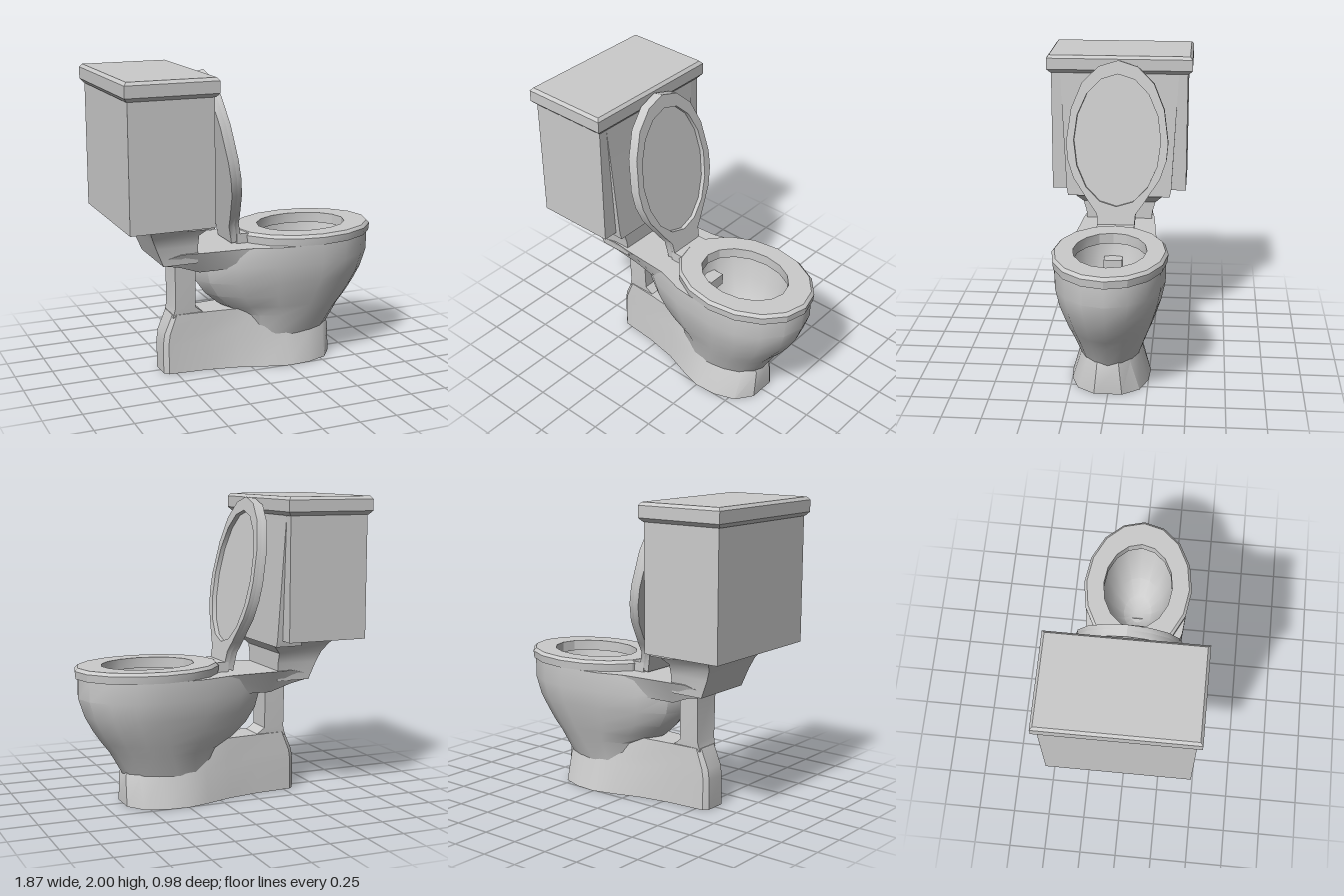
import * as THREE from 'three';
import { toCreasedNormals } from 'three/addons/utils/BufferGeometryUtils.js';

const material = new THREE.MeshStandardMaterial({ color: 0xcccccc, side: THREE.DoubleSide });

function addMesh(group, name, geometry, crease = 0.55) {
  const mesh = new THREE.Mesh(toCreasedNormals(geometry, crease), material);
  mesh.name = name;
  group.add(mesh);
  return mesh;
}

// Skin a list of equal-length rings of [x, y, z]; ends may be closed to their centre.
function loft(rings, capStart = false, capEnd = false) {
  const centre = (ring) => {
    const c = [0, 1, 2].map((k) => ring.reduce((s, p) => s + p[k], 0) / ring.length);
    return ring.map(() => c);
  };
  const all = [...rings];
  if (capStart) all.unshift(centre(rings[0]));
  if (capEnd) all.push(centre(rings[rings.length - 1]));
  const n = rings[0].length, index = [];
  for (let i = 0; i < all.length - 1; i++) {
    for (let j = 0; j < n; j++) {
      const a = i * n + j, b = i * n + (j + 1) % n;
      if (!(capStart && i === 0)) index.push(a, b, b + n);
      if (!(capEnd && i === all.length - 2)) index.push(a, b + n, a + n);
      else index.push(a, b, a + n);
      if (capStart && i === 0) index.push();
    }
  }
  const g = new THREE.BufferGeometry();
  g.setAttribute('position', new THREE.Float32BufferAttribute(all.flat(2), 3));
  g.setIndex(index);
  return g;
}

// Horizontal egg ring: widest at cx, reaching from back to front along x.
function egg(y, back, front, halfZ, cx = 0.44, n = 16) {
  return Array.from({ length: n }, (_, j) => {
    const t = (j / n) * Math.PI * 2, c = Math.cos(t);
    return [cx + c * (c > 0 ? front - cx : cx - back), y, -halfZ * Math.sin(t)];
  });
}

// Horizontal rectangular ring.
const rect = (y, x0, x1, h) => [[x1, y, h], [x1, y, -h], [x0, y, -h], [x0, y, h]];

// Horizontal ring mirrored about z = 0 from [x, halfZ] stations running front to back.
function outline(y, stations) {
  return [
    ...stations.map(([x, h]) => [x, y, -h]),
    ...[...stations].reverse().map(([x, h]) => [x, y, h]),
  ];
}

export function createModel() {
  const model = new THREE.Group();
  model.name = 'toilet';

  // Cistern with a shallow sloping front panel and a chamfered cover
  const cistern = new THREE.Group();
  cistern.name = 'cistern';
  model.add(cistern);
  addMesh(cistern, 'tank', loft([rect(1.07, -0.91, -0.36, 0.46), rect(1.9, -0.91, -0.36, 0.46)], true, true));
  addMesh(cistern, 'tankFrontPanel', loft([
    rect(1.03, -0.5, -0.32, 0.35), rect(1.08, -0.5, -0.323, 0.36), rect(1.88, -0.5, -0.36, 0.4),
  ], true, true));
  addMesh(cistern, 'tankCover', loft([
    rect(1.88, -0.915, -0.355, 0.465), rect(1.905, -0.935, -0.335, 0.49),
    rect(1.98, -0.935, -0.335, 0.49), rect(2.0, -0.918, -0.352, 0.473),
  ], true, true), 0.3);

  // Neck that carries the cistern
  addMesh(model, 'neck', loft([
    rect(0.78, -0.62, -0.39, 0.22), rect(0.9, -0.67, -0.39, 0.23), rect(0.97, -0.7, -0.39, 0.25),
    rect(1.03, -0.73, -0.33, 0.3), rect(1.075, -0.77, -0.33, 0.34),
  ], true, true));

  // Deck behind the bowl: [x, bottom, top, half width at top, half width at bottom]
  const deck = [
    [-0.62, 0.78, 0.82, 0.22, 0.2], [-0.5, 0.755, 0.85, 0.235, 0.2], [-0.36, 0.7, 0.85, 0.25, 0.17],
    [-0.05, 0.72, 0.85, 0.27, 0.24], [0.08, 0.72, 0.85, 0.3, 0.28],
  ].map(([x, b, t, h, k]) => [[x, t, -h], [x, t, h], [x, b, k], [x, b, -k]]);
  addMesh(model, 'deck', loft(deck, true, true));

  // Bowl: up the outside, over the rim and down the inside
  addMesh(model, 'bowl', loft([
    egg(0.2, -0.02, 0.62, 0.2, 0.3),
    egg(0.35, -0.06, 0.705, 0.25, 0.36),
    egg(0.42, -0.17, 0.76, 0.275, 0.39),
    egg(0.5, -0.26, 0.815, 0.3, 0.41),
    egg(0.6, -0.33, 0.87, 0.33),
    egg(0.72, -0.36, 0.91, 0.355),
    egg(0.85, -0.32, 0.91, 0.357),
    egg(0.85, 0.1, 0.78, 0.26),
    egg(0.7, 0.13, 0.74, 0.235),
    egg(0.52, 0.21, 0.67, 0.175),
    egg(0.42, 0.31, 0.57, 0.1),
    egg(0.39, 0.4, 0.48, 0.03),
  ], false, true));
  const inlet = addMesh(model, 'waterInlet', new THREE.BoxGeometry(0.1, 0.08, 0.12));
  inlet.position.set(0.16, 0.72, 0);

  // Hollow foot: broad lobe in front, narrow heel behind
  addMesh(model, 'foot', loft([
    outline(0, [[0.62, 0.09], [0.54, 0.2], [0.4, 0.25], [0.25, 0.26], [0.1, 0.22], [-0.08, 0.16], [-0.3, 0.12], [-0.55, 0.1], [-0.58, 0.07]]),
    outline(0.2, [[0.62, 0.07], [0.55, 0.14], [0.42, 0.19], [0.25, 0.2], [0.1, 0.18], [-0.08, 0.14], [-0.3, 0.11], [-0.55, 0.095], [-0.58, 0.07]]),
    outline(0.27, [[0.58, 0.07], [0.52, 0.12], [0.4, 0.17], [0.25, 0.18], [0.1, 0.17], [-0.08, 0.13], [-0.3, 0.105], [-0.54, 0.095], [-0.57, 0.07]]),
    outline(0.4, [[0.4, 0.05], [0.36, 0.1], [0.3, 0.13], [0.2, 0.14], [0.08, 0.14], [-0.08, 0.12], [-0.3, 0.1], [-0.49, 0.09], [-0.515, 0.07]]),
  ], false, true));

  // Rear post between heel and deck
  addMesh(model, 'rearPost', loft([
    rect(0.38, -0.515, -0.28, 0.085), rect(0.44, -0.5, -0.36, 0.09), rect(0.8, -0.5, -0.36, 0.1),
  ], true, true));

  // Seat ring
  addMesh(model, 'seat', loft([
    egg(0.85, 0.13, 0.75, 0.235),
    egg(0.85, -0.035, 0.925, 0.365),
    egg(0.9, -0.04, 0.93, 0.37),
    egg(0.92, -0.02, 0.91, 0.352),
    egg(0.92, 0.13, 0.75, 0.235),
    egg(0.85, 0.13, 0.75, 0.235),
  ]), 0.45);
  const hinge = addMesh(model, 'hinge', new THREE.BoxGeometry(0.1, 0.065, 0.25));
  hinge.position.set(-0.03, 0.882, 0);

  // Raised lid: solid back plate with a border around a shallow recess
  const half = [[0.12, 0], [0.13, 0.12], [0.18, 0.19], [0.29, 0.36], [0.33, 0.48], [0.34, 0.6],
    [0.31, 0.82], [0.24, 0.99], [0.13, 1.1]];
  const points = [...half, [0, 1.14], ...half.map(([x, y]) => [-x, y]).reverse()]
    .map(([x, y]) => new THREE.Vector2(x, y));
  const plate = new THREE.Shape(points);
  const border = new THREE.Shape(points);
  border.holes.push(new THREE.Path(Array.from({ length: 16 }, (_, i) => {
    const t = (-i / 16) * Math.PI * 2;
    return new THREE.Vector2(0.29 * Math.cos(t), 0.61 + 0.44 * Math.sin(t));
  })));
  const lid = new THREE.Group();
  lid.name = 'lid';
  lid.position.set(-0.115, 0.855, 0);
  lid.rotation.z = 0.185;
  model.add(lid);
  [['lidPlate', plate, 0, 0.04], ['lidBorder', border, 0.04, 0.03]].forEach(([name, shape, offset, depth]) => {
    const g = new THREE.ExtrudeGeometry(shape, { depth, bevelEnabled: false });
    g.translate(0, 0, offset).rotateY(Math.PI / 2);
    addMesh(lid, name, g);
  });

  return model;
}
